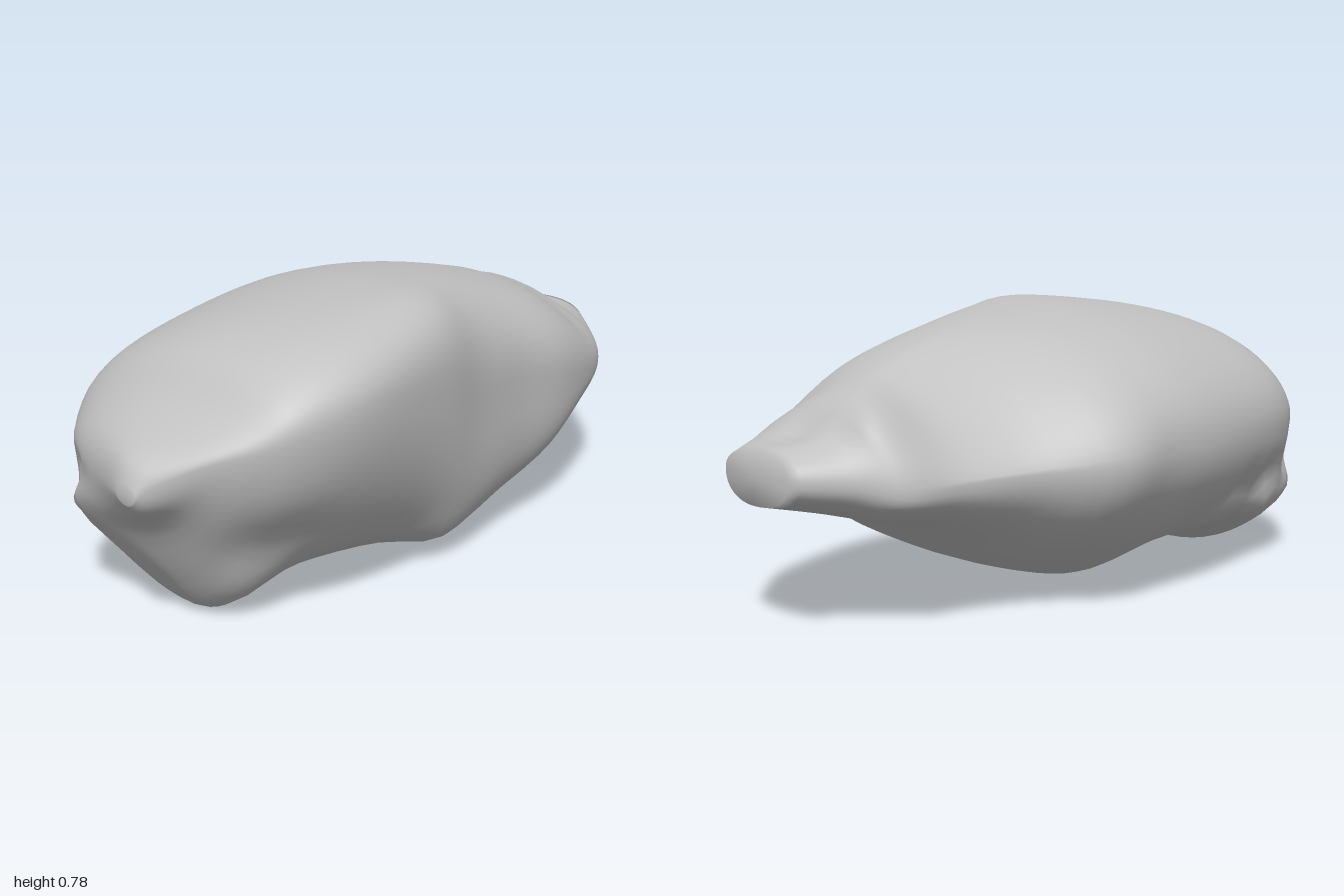
import * as THREE from 'three';

// Cross-sections along the boulder:
// x, top y, top z, front z, front y, bottom y, bottom z, back z, back y
const stations = [
  [-1.00, 0.44, 0.19, 0.22, 0.42, 0.40, 0.19, 0.16, 0.42],
  [-0.97, 0.50, 0.17, 0.25, 0.45, 0.36, 0.17, 0.08, 0.42],
  [-0.89, 0.55, 0.15, 0.34, 0.50, 0.27, 0.04, -0.13, 0.42],
  [-0.80, 0.61, 0.17, 0.43, 0.53, 0.12, 0.10, -0.25, 0.42],
  [-0.69, 0.70, 0.20, 0.50, 0.56, 0.00, 0.11, -0.34, 0.42],
  [-0.50, 0.755, 0.24, 0.54, 0.58, 0.05, 0.10, -0.42, 0.42],
  [-0.20, 0.785, 0.28, 0.51, 0.56, 0.04, 0.10, -0.50, 0.41],
  [0.02, 0.77, 0.20, 0.46, 0.50, 0.02, 0.06, -0.53, 0.41],
  [0.22, 0.74, 0.10, 0.44, 0.48, 0.055, 0.06, -0.545, 0.40],
  [0.42, 0.69, 0.05, 0.44, 0.44, 0.14, 0.08, -0.43, 0.39],
  [0.60, 0.63, 0.02, 0.40, 0.40, 0.23, 0.04, -0.37, 0.38],
  [0.76, 0.58, -0.08, 0.33, 0.38, 0.275, 0.00, -0.34, 0.37],
  [0.86, 0.51, -0.06, 0.25, 0.39, 0.30, -0.02, -0.26, 0.39],
  [1.00, 0.47, -0.03, 0.10, 0.41, 0.33, -0.03, -0.17, 0.40],
];

// Roundness of each section's quarters: upper front, lower front, upper back, lower back
const fullness = [
  [2.0, 2.0, 1.9, 1.8], [2.0, 2.0, 1.9, 1.8], [2.2, 1.8, 1.9, 2.0], [2.4, 1.6, 1.9, 2.2],
  [2.5, 1.6, 2.0, 2.2], [2.7, 1.8, 2.0, 2.1], [2.8, 2.4, 2.1, 2.0], [2.5, 3.8, 2.1, 1.9],
  [2.4, 3.6, 1.8, 1.9], [2.3, 3.6, 1.4, 2.0], [2.2, 3.0, 1.4, 2.4], [2.0, 2.6, 1.8, 2.6],
  [2.0, 2.5, 2.0, 2.3], [2.2, 2.2, 2.2, 2.2],
];
const sections = stations.map((s, i) => [...s, ...fullness[i]]);

// Local dents and bulges: centre, radius, push
const lumps = [
  // groove above the low back ledge
  [[-0.42, 0.25, -0.37], 0.06, [0.00, 0.01, 0.03]],
  [[-0.58, 0.27, -0.32], 0.06, [0.01, 0.01, 0.04]],
  [[-0.74, 0.31, -0.26], 0.06, [0.02, 0.01, 0.04]],
  [[-0.86, 0.36, -0.14], 0.05, [0.03, 0.01, 0.02]],
  // ledge rising toward the narrow side
  [[-0.40, 0.14, -0.28], 0.09, [0.00, 0.00, -0.03]],
  [[-0.58, 0.15, -0.26], 0.09, [0.00, 0.00, -0.04]],
  [[-0.76, 0.20, -0.20], 0.09, [-0.02, 0.00, -0.05]],
  [[-0.87, 0.28, -0.08], 0.08, [-0.02, 0.00, -0.06]],
  // hollow low on the front
  [[-0.68, 0.24, 0.36], 0.12, [0.03, 0.01, -0.04]],
  // scoop in front of the upper shoulder
  [[0.66, 0.52, 0.22], 0.13, [0.00, -0.02, -0.02]],
  // upper shoulder and the step below it
  [[0.75, 0.54, -0.22], 0.08, [0.03, 0.01, -0.01]],
  [[0.86, 0.49, -0.02], 0.08, [0.00, -0.02, 0.00]],
  // low corner on the front and the belly behind it
  [[-0.09, 0.05, 0.38], 0.10, [0.00, -0.015, 0.02]],
  [[0.04, 0.05, -0.18], 0.16, [0.00, -0.02, 0.00]],
];

const STEPS = 4, SIDES = 64;

// Smooth blend through the sections
function sectionAt(t) {
  const n = sections.length - 1, i = Math.min(Math.floor(t), n - 1), f = t - i;
  const at = k => sections[THREE.MathUtils.clamp(k, 0, n)];
  return at(i).map((b, k) => {
    const a = at(i - 1)[k], c = at(i + 1)[k], d = at(i + 2)[k];
    return b + 0.5 * f * (c - a + f * (2 * a - 5 * b + 4 * c - d + f * (3 * (b - c) + d - a)));
  });
}

// Point on a section: four rounded quarters, each with its own fullness
function sectionPoint(s, angle) {
  const [x, topY, topZ, frontZ, frontY, botY, botZ, backZ, backY, ...round] = s;
  const sn = Math.sin(angle), cs = Math.cos(angle), front = sn >= 0, top = cs >= 0;
  const power = 2 / round[(front ? 0 : 2) + (top ? 0 : 1)];
  const u = Math.abs(sn) ** power, v = Math.abs(cs) ** power;
  const endZ = top ? topZ : botZ, endY = top ? topY : botY;
  const sideZ = front ? frontZ : backZ, sideY = front ? frontY : backY;
  return new THREE.Vector3(x, sideY + (endY - sideY) * v, endZ + (sideZ - endZ) * u);
}

function applyLumps(p) {
  const q = p.clone();
  for (const [centre, radius, push] of lumps) {
    const d2 = p.distanceToSquared(new THREE.Vector3(...centre));
    q.addScaledVector(new THREE.Vector3(...push), Math.exp(-d2 / (radius * radius)));
  }
  return q;
}

function boulderGeometry() {
  const positions = [], index = [], rings = (sections.length - 1) * STEPS + 1;
  for (let i = 0; i < rings; i++) {
    const s = sectionAt(i / STEPS);
    for (let j = 0; j < SIDES; j++) {
      positions.push(...applyLumps(sectionPoint(s, (j / SIDES) * Math.PI * 2)).toArray());
    }
  }
  for (let i = 0; i < rings - 1; i++) {
    for (let j = 0; j < SIDES; j++) {
      const a = i * SIDES + j, c = i * SIDES + (j + 1) % SIDES;
      index.push(a, c, a + SIDES, c, c + SIDES, a + SIDES);
    }
  }
  // End caps
  const first = positions.length / 3, last = (rings - 1) * SIDES;
  positions.push(-1, 0.42, 0.19, 1, 0.40, -0.03);
  for (let j = 0; j < SIDES; j++) {
    const k = (j + 1) % SIDES;
    index.push(first, k, j, first + 1, last + j, last + k);
  }
  const geometry = new THREE.BufferGeometry();
  geometry.setAttribute('position', new THREE.Float32BufferAttribute(positions, 3));
  geometry.setIndex(index);
  geometry.computeVertexNormals();
  return geometry;
}

export function createModel() {
  const group = new THREE.Group();
  group.name = 'rock';
  const stone = new THREE.MeshStandardMaterial({ color: 0xc2c2c2 });
  stone.name = 'stone grey';
  const boulder = new THREE.Mesh(boulderGeometry(), stone);
  boulder.name = 'boulder';
  group.add(boulder);
  return group;
}
